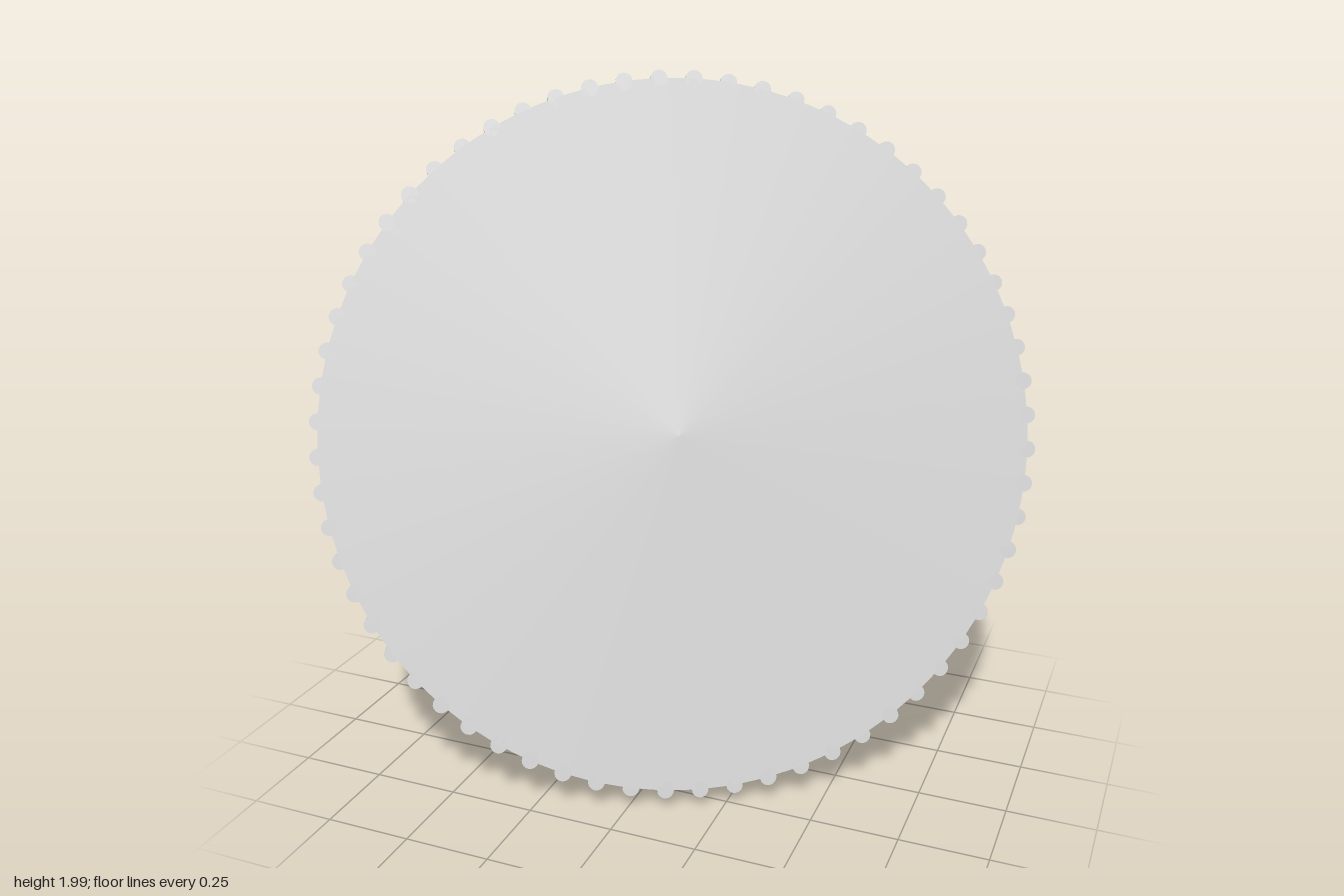
import * as THREE from 'three';

const RADIUS = 1.003;
const THICKNESS = 0.11;
const RIB_COUNT = 64;
const RIB_RADIUS = 0.024;
const PHASE = THREE.MathUtils.degToRad(1.8);

export function createModel() {
  const model = new THREE.Group();
  model.name = 'ribbedDisc';
  const material = new THREE.MeshStandardMaterial({ color: 0xcccccc });

  // Coin-like body, its axis along local z
  const bodyGeometry = new THREE.CylinderGeometry(RADIUS, RADIUS, THICKNESS, 128);
  bodyGeometry.rotateX(Math.PI / 2);
  const disc = new THREE.Group();
  disc.name = 'disc';
  const body = new THREE.Mesh(bodyGeometry, material);
  body.name = 'body';
  disc.add(body);

  // Round grip ribs set into the rim
  const ribGeometry = new THREE.CylinderGeometry(RIB_RADIUS, RIB_RADIUS, THICKNESS, 16);
  ribGeometry.rotateX(Math.PI / 2);
  const ribs = new THREE.Group();
  ribs.name = 'rimRibs';
  for (let i = 0; i < RIB_COUNT; i++) {
    const angle = PHASE + (i / RIB_COUNT) * Math.PI * 2;
    const rib = new THREE.Mesh(ribGeometry, material);
    rib.name = 'rib';
    rib.position.set(RADIUS * Math.cos(angle), RADIUS * Math.sin(angle), 0);
    rib.rotation.z = angle;
    ribs.add(rib);
  }
  disc.add(ribs);

  // Tilt the face toward the front, left and up
  disc.position.y = 1;
  disc.lookAt(0.433, 1.3, 0.85);
  model.add(disc);
  return model;
}
